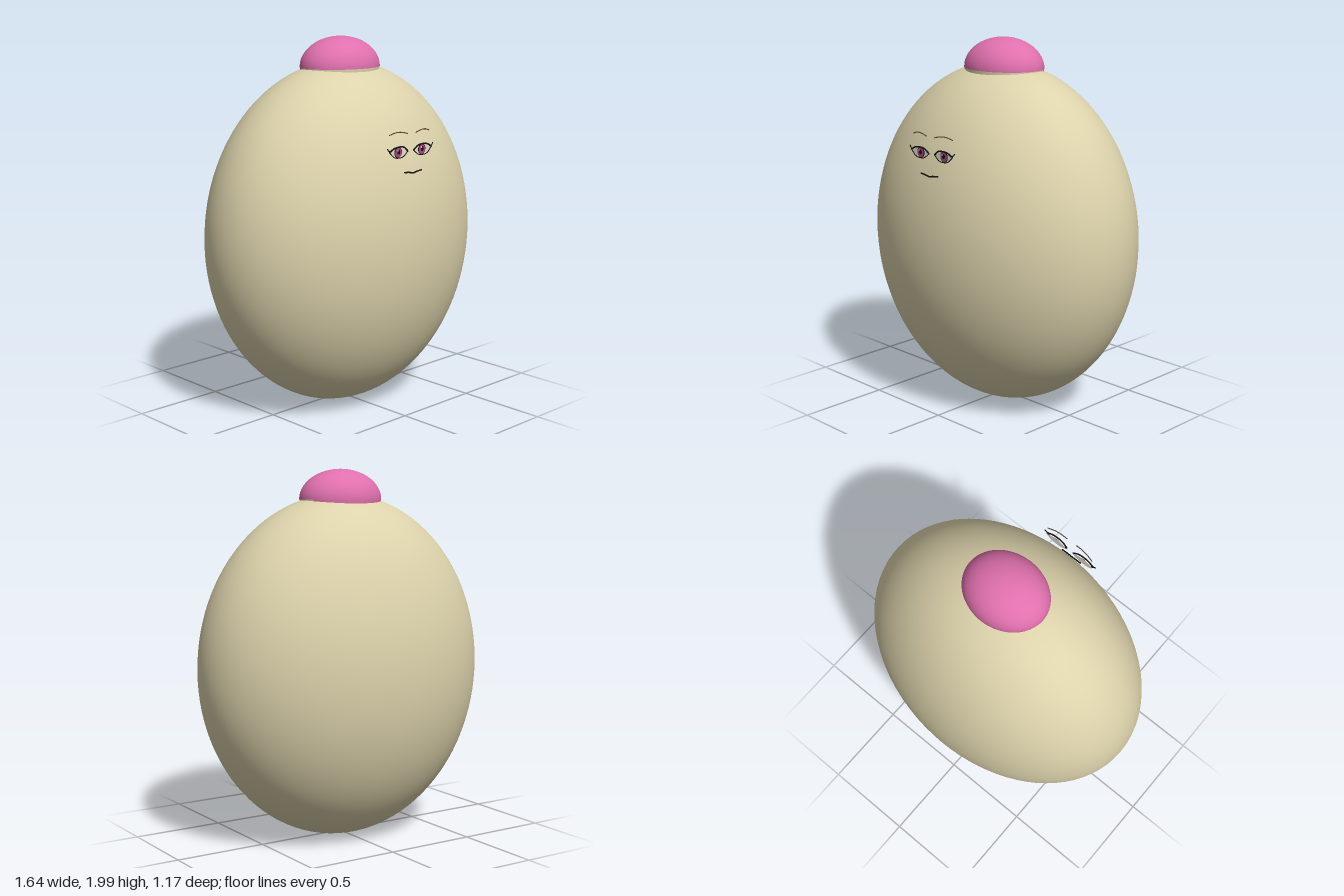
import * as THREE from 'three';

const mat = (name, color, side = THREE.FrontSide) => {
  const m = new THREE.MeshStandardMaterial({ color, side });
  m.name = name;
  return m;
};

export function createModel() {
  const model = new THREE.Group();
  model.name = 'roundFigure';
  const skin = mat('beige skin', 0xdcd2ab, THREE.DoubleSide);
  const pink = mat('pink hair', 0xe070ae, THREE.DoubleSide);
  const white = mat('eye white', 0xe6e0d4, THREE.DoubleSide);
  const iris = mat('iris pink', 0xa8487f, THREE.DoubleSide);
  const black = mat('black line', 0x15110f, THREE.DoubleSide);
  const brown = mat('brow brown', 0x5f5440, THREE.DoubleSide);

  const add = (parent, name, geometry, material) => {
    const mesh = new THREE.Mesh(geometry, material);
    mesh.name = name;
    parent.add(mesh);
    return mesh;
  };

  // Egg-shaped body, wider than deep
  const body = new THREE.SphereGeometry(1, 80, 56);
  body.scale(0.82, 0.932, 0.585).translate(0, 0.938, 0);
  add(model, 'body', body, skin);

  // Hair dome over the small crown
  const dome = new THREE.SphereGeometry(1, 56, 20, 0, Math.PI * 2, 0, Math.PI / 2);
  dome.scale(0.232, 0.162, 0.192).translate(0, 1.838, -0.003);
  add(model, 'hairDome', dome, pink);

  // Band below the dome: skin in front, hair behind (angles start at +z)
  const band = (name, start, length, material, r) => {
    const g = new THREE.CylinderGeometry(r, r * 0.985, 0.06, 48, 1, true, start, length);
    g.scale(0.23, 1, 0.19).translate(0, 1.809, -0.002);
    add(model, name, g, material);
  };
  const half = 1.95;
  band('crownRim', -half, half * 2, skin, 0.995);
  band('hairBack', half, Math.PI * 2 - half * 2, pink, 1.005);

  // Thin drawn line through a few points
  const line = (parent, name, points, radius, material) => {
    const curve = new THREE.CatmullRomCurve3(points.map(p => new THREE.Vector3(...p)));
    return add(parent, name, new THREE.TubeGeometry(curve, 16, radius, 5), material);
  };
  const disc = (parent, name, rx, ry, y, z, material) => {
    const g = new THREE.CircleGeometry(1, 28);
    g.scale(rx, ry, 1).translate(0, y, z);
    return add(parent, name, g, material);
  };

  // Eyes and brows, with the outer corner away from the middle
  for (const s of [1, -1]) {
    const eye = new THREE.Group();
    eye.name = s > 0 ? 'leftEye' : 'rightEye';
    eye.position.set(s * 0.088, 1.442, 0.512);
    model.add(eye);

    const almond = new THREE.Shape();
    almond.moveTo(-0.066, 0);
    almond.bezierCurveTo(-0.035, 0.038, 0.035, 0.038, 0.066, 0.004);
    almond.bezierCurveTo(0.035, -0.036, -0.035, -0.036, -0.066, 0);
    add(eye, 'eyeWhite', new THREE.ShapeGeometry(almond, 12), white);
    disc(eye, 'irisRim', 0.028, 0.028, 0, 0.002, black);
    disc(eye, 'iris', 0.024, 0.025, -0.001, 0.004, iris);
    disc(eye, 'pupil', 0.011, 0.013, 0.002, 0.006, black);
    const glint = disc(eye, 'glint', 0.005, 0.005, 0.011, 0.008, white);
    glint.position.x = -0.008;

    line(eye, 'upperLid', [[-s * 0.068, 0, 0.006], [-s * 0.035, 0.024, 0.009],
      [0, 0.029, 0.01], [s * 0.035, 0.024, 0.009], [s * 0.068, 0.006, 0.006]], 0.0042, black);
    line(eye, 'lowerLid', [[-s * 0.066, 0, 0.006], [-s * 0.034, -0.023, 0.008],
      [0, -0.028, 0.008], [s * 0.034, -0.022, 0.008], [s * 0.066, 0.004, 0.006]], 0.0026, black);
    line(eye, 'outerLash', [[s * 0.052, 0.012, 0.008], [s * 0.07, 0.014, 0.006],
      [s * 0.082, 0.026, 0.004]], 0.003, black);

    line(model, s > 0 ? 'leftBrow' : 'rightBrow', [[s * 0.03, 1.534, 0.525],
      [s * 0.065, 1.543, 0.522], [s * 0.105, 1.545, 0.516], [s * 0.148, 1.534, 0.508]], 0.003, brown);
  }

  // Mouth
  line(model, 'mouth', [[-0.064, 1.339, 0.536], [-0.03, 1.336, 0.538], [0, 1.331, 0.539],
    [0.03, 1.336, 0.538], [0.064, 1.339, 0.536]], 0.0042, black);

  return model;
}
